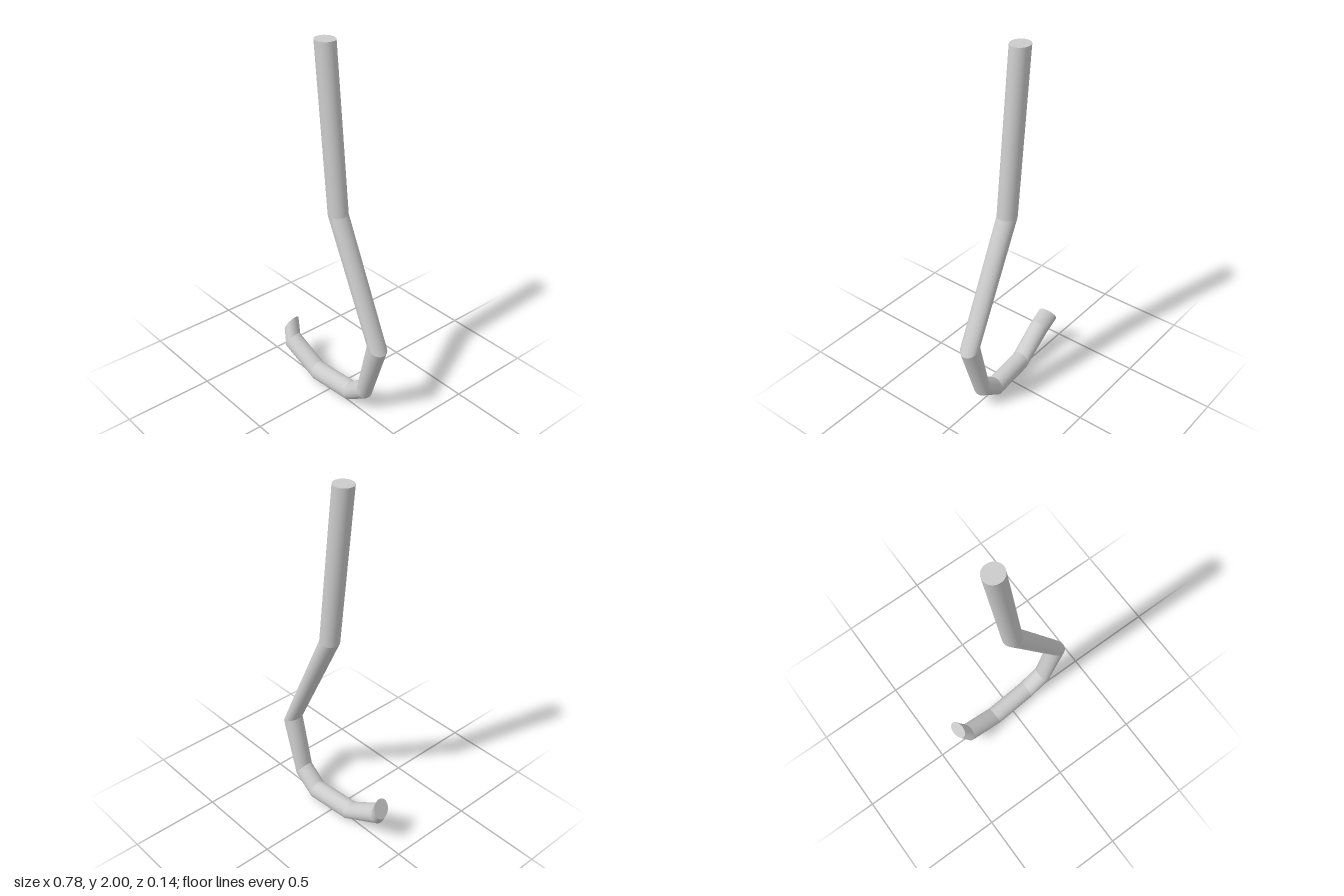
import * as THREE from 'three';

const SIDES = 40;

// Mitred joints of the bent rod, top to tip:
// inner edge x,y | outer edge x,y | centre z | tilt of the z axis along x
const JOINTS = [
  [-0.128, 2.0, -0.016, 2.0, -0.02, 0],
  [-0.027, 1.11, 0.08, 1.118, -0.02, 0],
  [0.285, 0.48, 0.389, 0.435, -0.02, 0],
  [0.223, 0.185, 0.278, 0.095, -0.02, 0],
  [0.13, 0.11, 0.14, 0.002, -0.02, 0],
  [-0.12, 0.11, -0.109, 0.002, 0.0, 0.003],
  [-0.296, 0.213, -0.344, 0.115, 0.017, 0.005],
  [-0.341, 0.291, -0.39, 0.195, -0.009, 0.007],
];
const NAMES = ['upperShank', 'lowerShank', 'bendStart', 'bendCorner', 'bendBottom', 'bendRise', 'tip'];

// Points of one elliptical joint
function ring([ax, ay, bx, by, z, tilt]) {
  const u = new THREE.Vector3((bx - ax) / 2, (by - ay) / 2, 0);
  const v = new THREE.Vector3(tilt, 0, 0.0525);
  const centre = new THREE.Vector3((ax + bx) / 2, (ay + by) / 2, z);
  const points = [];
  for (let i = 0; i < SIDES; i++) {
    const t = (i / SIDES) * Math.PI * 2;
    points.push(centre.clone().addScaledVector(u, Math.cos(t)).addScaledVector(v, Math.sin(t)));
  }
  return { centre, points };
}

function build(points, index) {
  const g = new THREE.BufferGeometry().setFromPoints(points);
  g.setIndex(index);
  g.computeVertexNormals();
  return g;
}

// Straight length of rod between two joints
function segment(r0, r1) {
  const index = [];
  for (let i = 0; i < SIDES; i++) {
    const j = (i + 1) % SIDES;
    index.push(i, j, SIDES + i, j, SIDES + j, SIDES + i);
  }
  return build([...r0.points, ...r1.points], index);
}

// Flat end of the rod
function cap(r, flip) {
  const index = [];
  for (let i = 0; i < SIDES; i++) {
    const j = (i + 1) % SIDES;
    index.push(SIDES, flip ? j : i, flip ? i : j);
  }
  return build([...r.points, r.centre], index);
}

export function createModel() {
  const group = new THREE.Group();
  group.name = 'hook';
  const material = new THREE.MeshStandardMaterial({ color: 0xcccccc });
  const add = (geometry, name) => {
    const mesh = new THREE.Mesh(geometry, material);
    mesh.name = name;
    group.add(mesh);
  };

  const rings = JOINTS.map(ring);
  NAMES.forEach((name, i) => add(segment(rings[i], rings[i + 1]), name));
  add(cap(rings[0], true), 'topCap');
  add(cap(rings[rings.length - 1], false), 'tipCap');
  return group;
}
